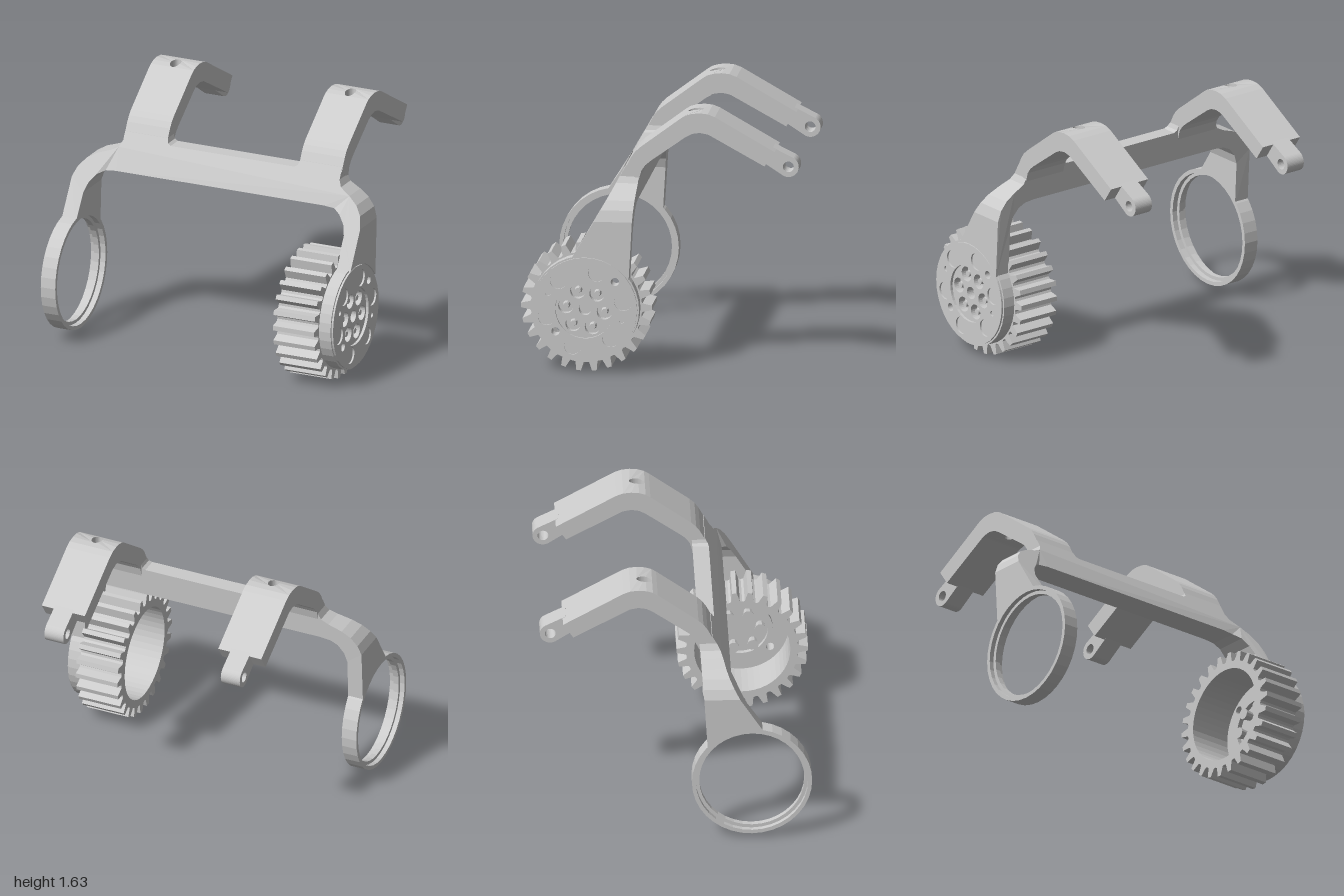
import * as THREE from 'three';

const mat = new THREE.MeshStandardMaterial({ color: 0xcccccc, flatShading: true });
const HUB = { y: 0.41, z: 0.447 };
const RAD = Math.PI / 180;

function mesh(name, geo) {
  geo.computeVertexNormals();
  const m = new THREE.Mesh(geo, mat);
  m.name = name;
  return m;
}

// Extrude a side profile (shape x = -z, shape y = y) from x0 to x1
function sideExtrude(shape, x0, x1, curveSegments = 12) {
  const g = new THREE.ExtrudeGeometry(shape, { depth: x1 - x0, bevelEnabled: false, curveSegments });
  return g.rotateY(Math.PI / 2).translate(x0, 0, 0);
}
const zyShape = (pts) => new THREE.Shape(pts.map(([z, y]) => new THREE.Vector2(-z, y)));

function disc(r) {
  const s = new THREE.Shape();
  s.absarc(0, 0, r, 0, Math.PI * 2, false);
  return s;
}
function addHole(shape, x, y, r) {
  const p = new THREE.Path();
  p.absarc(x, y, r, 0, Math.PI * 2, true);
  shape.holes.push(p);
}
const polarHole = (s, deg, dist, r) => addHole(s, dist * Math.cos(deg * RAD), dist * Math.sin(deg * RAD), r);

// Piecewise linear lookup through [z, y] points of decreasing z
function lookup(pts, z) {
  let i = 0;
  while (i < pts.length - 2 && z < pts[i + 1][0]) i++;
  const [a, b] = [pts[i], pts[i + 1]];
  return a[1] + (b[1] - a[1]) * (z - a[0]) / (b[0] - a[0]);
}

// U-shaped frame: front outline, with its depth tapering by height
function frame() {
  const outline = [
    [-1, 0.72], [-1, 1.0], [-0.975, 1.06], [-0.93, 1.11], [-0.87, 1.145], [-0.78, 1.175], [-0.73, 1.2], [-0.71, 1.24], [-0.71, 1.29],
    [-0.415, 1.29], [-0.405, 1.262], [-0.385, 1.25], [0.47, 1.25], [0.49, 1.262], [0.5, 1.29],
    [0.79, 1.29], [0.79, 1.22], [0.81, 1.18], [0.88, 1.14], [0.94, 1.095], [0.98, 1.04], [1, 0.97], [1, 0.72],
    [0.9, 0.72], [0.9, 0.92], [0.88, 0.98], [0.84, 1.03], [0.79, 1.055], [0.72, 1.062],
    [-0.72, 1.062], [-0.79, 1.055], [-0.84, 1.03], [-0.88, 0.98], [-0.9, 0.92], [-0.9, 0.72],
  ];
  const shape = new THREE.Shape(outline.map(([x, y]) => new THREE.Vector2(x, y)));
  const g = new THREE.ExtrudeGeometry(shape, { depth: 1, steps: 8, bevelEnabled: false });
  const p = g.attributes.position;
  for (let i = 0; i < p.count; i++) {
    const x = p.getX(i), y = p.getY(i), t = p.getZ(i);
    const rear = 0.18 - (y - 0.62) * 0.08;
    let front = 0.516 - (y - 0.745) * 0.56;
    if (Math.abs(x) < 0.8) front = Math.min(front, 0.325);
    const z = rear + (front - rear) * t;
    p.setZ(i, z);
    // leg feet follow the round edge of the ring or disc
    if (y < 0.8) p.setY(i, HUB.y + Math.sqrt((x < 0 ? 0.352 : 0.335) ** 2 - (z - HUB.z) ** 2));
  }
  return mesh('frame', g);
}

// Bent arm with a pierced crown and a narrow eyelet tab
function arm(name, cx) {
  const group = new THREE.Group();
  group.name = name;
  const w = 0.1475;
  const lower = zyShape([[0.223, 1.26], [0.18, 1.343], [0.155, 1.378], [0.124, 1.407], [-0.13, 1.596],
    [-0.13, 1.456], [0.055, 1.324], [0.09, 1.295], [0.115, 1.26], [0.132, 1.2]]);
  group.add(mesh('armLower', sideExtrude(lower, cx - w, cx + w)));

  // crown plate with a vertical hole, shaped to the bend
  const top = [[-0.13, 1.596], [-0.16, 1.615], [-0.2, 1.627], [-0.25, 1.632], [-0.3, 1.627]];
  const under = [[-0.13, 1.456], [-0.184, 1.494], [-0.22, 1.506], [-0.26, 1.508], [-0.3, 1.498]];
  const zs = top.map((q) => q[0]);
  const plan = new THREE.Shape([
    ...zs.map((z) => new THREE.Vector2(w, -z)), ...[...zs].reverse().map((z) => new THREE.Vector2(-w, -z))]);
  const hole = new THREE.Path();
  hole.absellipse(0, 0.21, 0.032, 0.048, 0, Math.PI * 2, true);
  plan.holes.push(hole);
  const g = new THREE.ExtrudeGeometry(plan, { depth: 1, bevelEnabled: false, curveSegments: 16 });
  g.rotateX(-Math.PI / 2);
  const p = g.attributes.position;
  for (let i = 0; i < p.count; i++) p.setY(i, lookup(p.getY(i) > 0.5 ? top : under, p.getZ(i)));
  group.add(mesh('armCrown', g.translate(cx, 0, 0)));

  const outer = zyShape([[-0.3, 1.627], [-0.345, 1.61], [-0.72, 1.396], [-0.656, 1.303], [-0.31, 1.494], [-0.3, 1.498]]);
  group.add(mesh('armOuter', sideExtrude(outer, cx - w, cx + w)));

  // tab with rounded end and pin hole
  const tab = new THREE.Shape();
  tab.moveTo(0.64, 1.312);
  tab.lineTo(0.764, 1.231);
  tab.absarc(0.797, 1.287, 0.065, -120 * RAD, 60 * RAD, false);
  tab.lineTo(0.7, 1.408);
  addHole(tab, 0.797, 1.287, 0.034);
  group.add(mesh('armTab', sideExtrude(tab, cx - 0.065, cx + 0.065)));
  return group;
}

// Open ring with a narrow inner lip
function ring() {
  const prof = [[0.35, -1], [0.375, -1], [0.375, -0.9], [0.35, -0.9], [0.35, -0.935], [0.328, -0.935], [0.328, -0.97], [0.35, -0.97], [0.35, -1]];
  const g = new THREE.LatheGeometry(prof.map(([r, x]) => new THREE.Vector2(r, x)), 36);
  g.rotateZ(-Math.PI / 2).translate(0, HUB.y, HUB.z);
  return mesh('sideRing', g.toNonIndexed());
}

// Hollow spur gear
function gear() {
  const n = 26, pitch = 360 / n, s = new THREE.Shape();
  const corners = [[-0.5, 0.347], [-0.32, 0.352], [-0.15, 0.41], [0.15, 0.41], [0.32, 0.352]];
  for (let i = 0; i < n; i++) {
    corners.forEach(([f, r], k) => {
      const a = (-90 + (i + 0.5 + f) * pitch) * RAD;
      s[i + k === 0 ? 'moveTo' : 'lineTo'](r * Math.cos(a), r * Math.sin(a));
    });
  }
  addHole(s, 0, 0, 0.3);
  return mesh('gear', sideExtrude(s, 0.62, 0.905, 24));
}

// Mounting disc with recesses, bolt circle and pegs
function hub() {
  const group = new THREE.Group();
  group.name = 'hub';
  const body = disc(0.339), face = disc(0.328);
  for (const s of [body, face]) {
    polarHole(s, 218, 0.233, 0.026);
    polarHole(s, 43.5, 0.26, 0.026);
  }
  polarHole(face, 157, 0.25, 0.017);
  polarHole(face, -16, 0.24, 0.017);
  addHole(body, 0, 0, 0.185);
  addHole(face, 0, 0, 0.185);
  const plate = disc(0.187), collar = disc(0.2);
  addHole(plate, 0, 0, 0.04);
  addHole(collar, 0, 0, 0.17);
  for (let i = 0; i < 6; i++) {
    polarHole(face, 12 + 60 * i, 0.245, 0.055);
    polarHole(plate, 52 + 60 * i, 0.122, 0.048);
    const a = (52 + 60 * i) * RAD;
    const bolt = new THREE.CylinderGeometry(0.018, 0.036, 0.13, 10).rotateZ(-Math.PI / 2);
    bolt.translate(0.905, 0.122 * Math.sin(a), -0.122 * Math.cos(a));
    group.add(mesh('bolt', bolt.toNonIndexed()));
  }
  group.add(
    mesh('discBody', sideExtrude(body, 0.9, 0.985, 18)),
    mesh('discFace', sideExtrude(face, 0.985, 0.997, 18)),
    mesh('hubPlate', sideExtrude(plate, 0.93, 0.98, 12)),
    mesh('hubBack', sideExtrude(disc(0.187), 0.9, 0.93, 12)),
    mesh('hubCollar', sideExtrude(collar, 0.87, 0.905, 18)),
  );
  return group;
}

export function createModel() {
  const model = new THREE.Group();
  model.name = 'gearedBracket';
  const drive = new THREE.Group();
  drive.name = 'drive';
  drive.position.set(0, HUB.y, HUB.z);
  drive.add(gear(), hub());
  model.add(frame(), arm('rightArm', -0.5625), arm('leftArm', 0.645), ring(), drive);
  return model;
}
